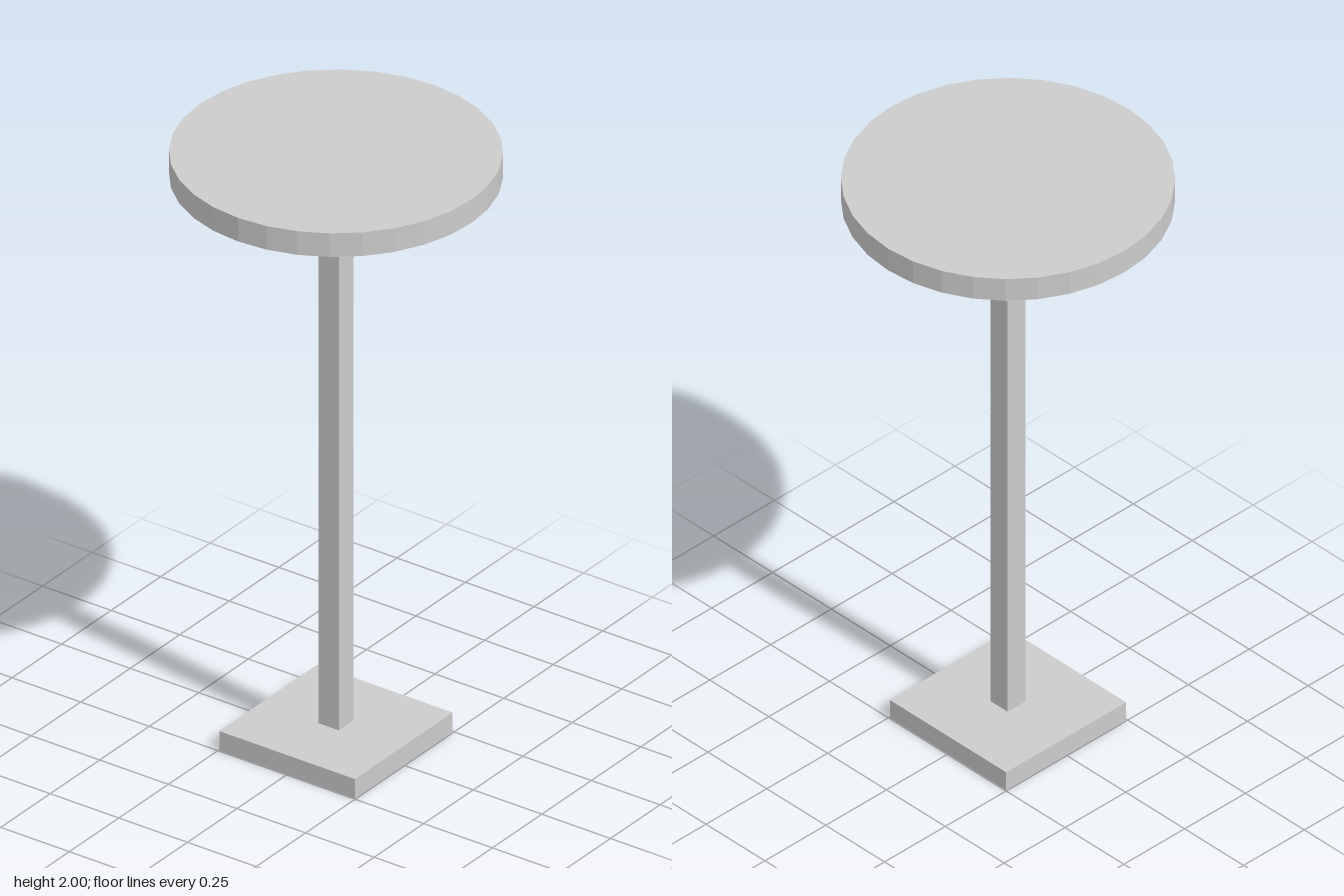
import * as THREE from 'three';

const material = new THREE.MeshStandardMaterial({ color: 0xcccccc, flatShading: true });

const BASE_TOP = 0.066;
const TOP_BOTTOM = 1.92;

export function createModel() {
  const group = new THREE.Group();
  group.name = 'pedestalTable';

  // Adds a part that spans from y0 to y1 on the central axis
  const addPart = (name, y0, y1, makeGeometry) => {
    const mesh = new THREE.Mesh(makeGeometry(y1 - y0), material);
    mesh.name = name;
    mesh.position.y = (y0 + y1) / 2;
    group.add(mesh);
  };

  // Square foot plate
  addPart('base', 0, BASE_TOP, (h) => new THREE.BoxGeometry(0.494, h, 0.494));
  // Square column
  addPart('post', BASE_TOP, TOP_BOTTOM, (h) => new THREE.BoxGeometry(0.074, h, 0.074));
  // Round faceted top
  addPart('tableTop', TOP_BOTTOM, 2, (h) => new THREE.CylinderGeometry(0.494, 0.494, h, 32));

  return group;
}
